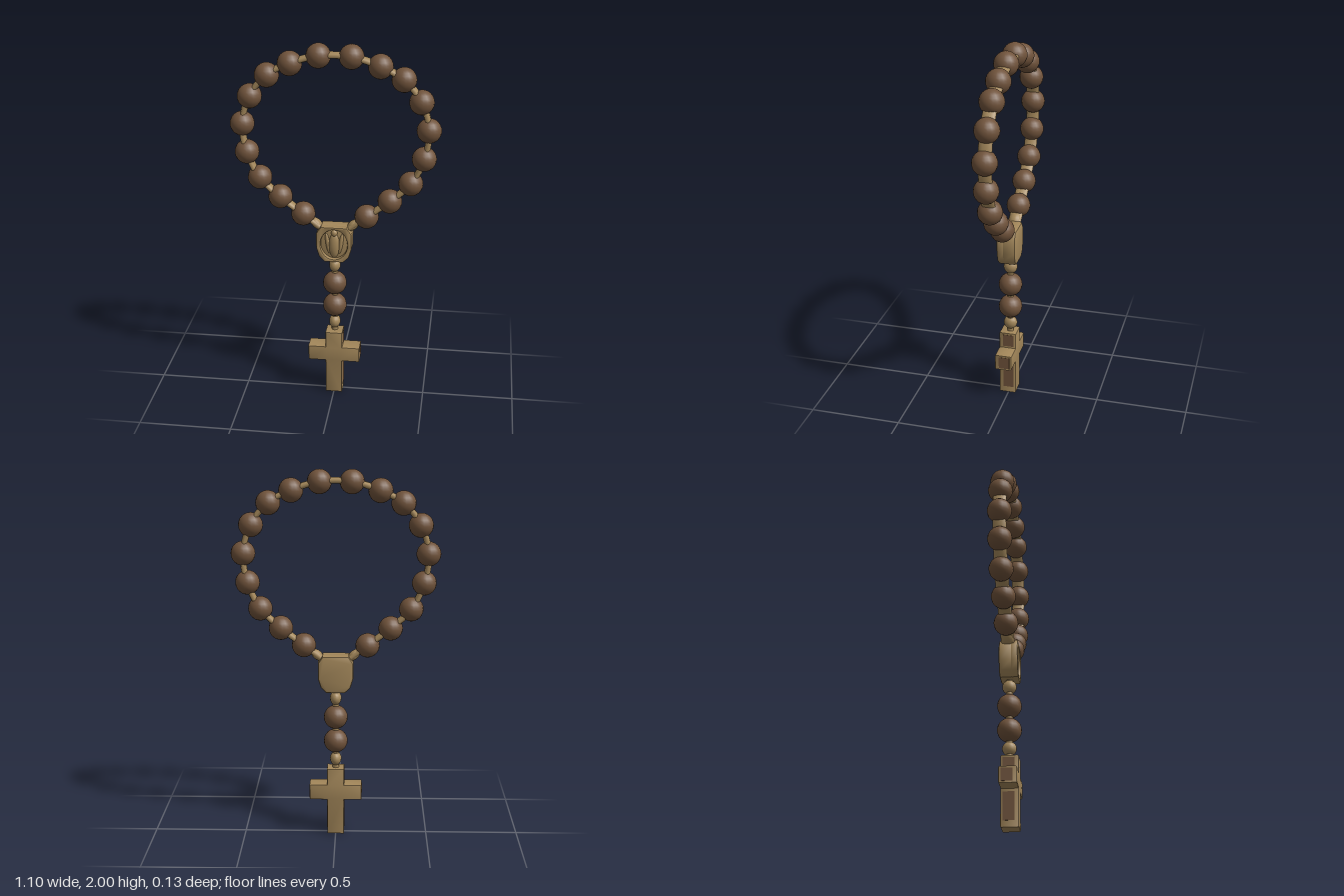
import * as THREE from 'three';
import { toCreasedNormals } from 'three/addons/utils/BufferGeometryUtils.js';

const wood = new THREE.MeshStandardMaterial({ color: 0x70533b });
wood.name = 'brown wood';
const brass = new THREE.MeshStandardMaterial({ color: 0xa3875a });
brass.name = 'aged brass';

export function createModel() {
  const model = new THREE.Group();
  const add = (name, geometry, material, x = 0, y = 0, z = 0) => {
    const mesh = new THREE.Mesh(geometry, material);
    mesh.name = name;
    mesh.position.set(x, y, z);
    model.add(mesh);
    return mesh;
  };
  const outline = (points) => new THREE.Shape(points.map(([x, y]) => new THREE.Vector2(x, y)));
  const mirrored = (points) => [...points, ...points.map(([x, y]) => [-x, y]).reverse()];
  // Bevelled slab whose outline already includes the bevel, spanning z0 to z1
  const slab = (shape, z0, z1, bevel) => {
    const g = new THREE.ExtrudeGeometry(shape, {
      depth: z1 - z0 - 2 * bevel, bevelThickness: bevel, bevelSize: bevel,
      bevelOffset: -bevel, bevelSegments: 2, curveSegments: 20,
    });
    g.translate(0, 0, z0 + bevel);
    return toCreasedNormals(g, 0.7);
  };

  // Loop of beads, right half from the top down, then mirrored
  const half = [[0.085, 1.935], [0.233, 1.89], [0.353, 1.825], [0.445, 1.71], [0.487, 1.56],
    [0.466, 1.405], [0.4, 1.265], [0.292, 1.16], [0.17, 1.066]];
  const bead = new THREE.SphereGeometry(0.065, 18, 12);
  for (const side of [1, -1]) {
    half.forEach(([x, y]) => add('loopBead', bead, wood, side * x, y));
  }

  // Flat links joining the beads, and the thicker ends at the medal
  const path = [[0.06, 0.985], ...half.slice().reverse()];
  const points = [...path, ...path.map(([x, y]) => [-x, y]).reverse()]
    .map(([x, y]) => new THREE.Vector3(x, y, 0));
  const curve = new THREE.CatmullRomCurve3(points);
  add('loopCord', new THREE.TubeGeometry(curve, 120, 0.017, 10), brass).scale.z = 2.1;
  for (const side of [1, -1]) {
    const end = add('cordEnd', new THREE.SphereGeometry(0.03, 12, 8), brass, side * 0.098, 1.012);
    end.scale.set(1.4, 0.8, 1.1);
    end.rotation.z = side * 0.75;
  }

  // Medal: solid back, raised rim with an oval opening, figure in relief
  const medalPoints = mirrored([[0.05, 0.81], [0.08, 0.84], [0.095, 0.89], [0.095, 0.975], [0.07, 1.012]]);
  add('medalBody', slab(outline(medalPoints), -0.048, 0.028, 0.012), brass);
  const rim = outline(medalPoints);
  rim.holes.push(new THREE.Path().absellipse(0, 0.912, 0.073, 0.086, 0, Math.PI * 2, true));
  const rimGeometry = new THREE.ExtrudeGeometry(rim, {
    depth: 0.027, bevelThickness: 0.006, bevelSize: 0.006, bevelOffset: -0.006,
    bevelSegments: 2, curveSegments: 20,
  });
  rimGeometry.translate(0, 0, 0.02);
  add('medalRim', toCreasedNormals(rimGeometry, 0.7), brass);
  const relief = new THREE.SphereGeometry(1, 16, 12);
  add('reliefBody', relief, brass, 0, 0.9, 0.028).scale.set(0.029, 0.072, 0.02);
  add('reliefHead', relief, brass, 0, 0.972, 0.028).scale.set(0.017, 0.02, 0.017);
  for (const side of [1, -1]) {
    const fold = add('reliefFold', relief, brass, side * 0.035, 0.91, 0.026);
    fold.scale.set(0.012, 0.06, 0.013);
    fold.rotation.z = -side * 0.15;
  }

  // Pendant strand
  add('pendantCord', new THREE.CylinderGeometry(0.018, 0.018, 0.47, 12), brass, 0, 0.6, 0);
  for (const y of [0.665, 0.53]) add('pendantBead', bead, wood, 0, y);
  for (const y of [0.772, 0.428]) {
    add('spacerBead', new THREE.SphereGeometry(0.035, 14, 10), brass, 0, y).scale.set(0.9, 1.1, 1.1);
  }

  // Cross
  const crossPoints = mirrored([[0.046, 0], [0.046, 0.2], [0.142, 0.2], [0.142, 0.287], [0.046, 0.287], [0.046, 0.378]]);
  add('cross', slab(outline(crossPoints), -0.042, 0.053, 0.007), brass);

  // Worn brown patches on the sides of the cross
  for (const side of [1, -1]) {
    for (const [x, y, height] of [[0.046, 0.11, 0.15], [0.142, 0.243, 0.068], [0.046, 0.332, 0.07]]) {
      add('crossSidePatch', new THREE.BoxGeometry(0.003, height, 0.06), wood, side * x, y, 0);
    }
  }
  return model;
}
